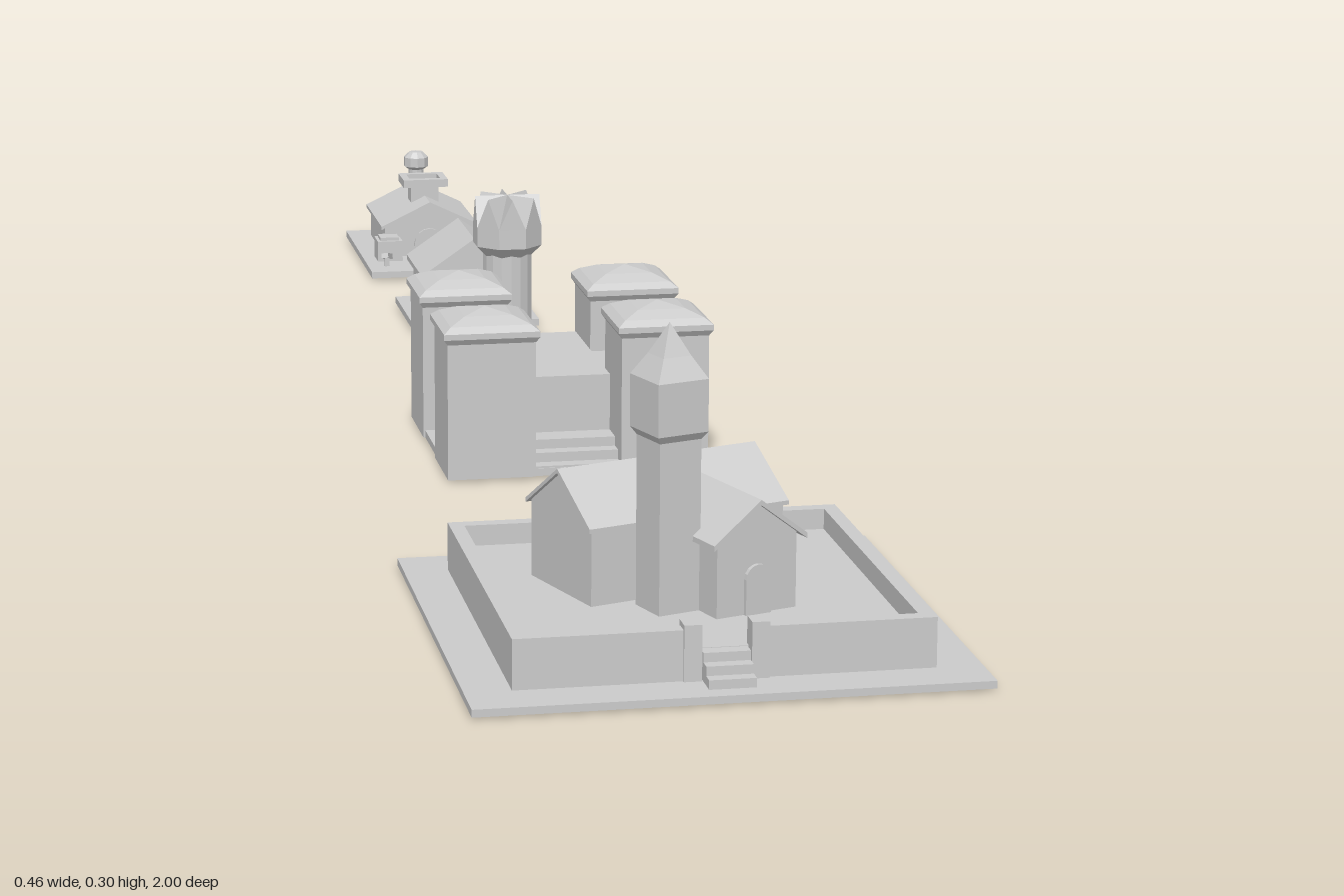
import * as THREE from 'three';

const mat = new THREE.MeshStandardMaterial({ color: 0xcccccc, flatShading: true, side: THREE.DoubleSide });

function add(parent, name, geo, x = 0, y = 0, z = 0) {
  const m = new THREE.Mesh(geo, mat);
  m.name = name;
  m.position.set(x, y, z);
  parent.add(m);
  return m;
}
// y is the underside of the box
const box = (p, name, w, h, d, x, y, z) => add(p, name, new THREE.BoxGeometry(w, h, d), x, y + h / 2, z);

function group(parent, name, x, y, z) {
  const g = new THREE.Group();
  g.name = name;
  g.position.set(x, y, z);
  parent.add(g);
  return g;
}
function prism(points, depth) {
  const shape = new THREE.Shape(points.map(([x, y]) => new THREE.Vector2(x, y)));
  return new THREE.ExtrudeGeometry(shape, { depth, bevelEnabled: false });
}
// gabled walls with a thin overhanging roof, ridge along z from z0 to z1
function gabled(p, name, hw, y0, eave, peak, z0, z1, over = 0.007, t = 0.006) {
  const g = group(p, name, 0, 0, 0);
  add(g, name + 'Walls', prism([[-hw, y0], [hw, y0], [hw, eave], [0, peak - t], [-hw, eave]], z1 - z0), 0, 0, z0);
  const w = hw + over, e = eave - over * (peak - t - eave) / hw;
  add(g, name + 'Roof', prism([[-w, e], [0, peak - t], [w, e], [w, e + t], [0, peak], [-w, e + t]],
    z1 - z0 + 2 * over), 0, 0, z0 - over);
  return g;
}
// door-shaped slab, rounded at the top
function arch(p, name, w, h, d, x, y, z) {
  const s = new THREE.Shape();
  s.moveTo(-w / 2, 0);
  s.lineTo(w / 2, 0);
  s.lineTo(w / 2, h - w / 2);
  s.absarc(0, h - w / 2, w / 2, 0, Math.PI, false);
  s.closePath();
  return add(p, name, new THREE.ExtrudeGeometry(s, { depth: d, bevelEnabled: false, curveSegments: 4 }), x, y, z);
}
// square profile turned from [half-width, height] pairs
function squareLathe(points) {
  const geo = new THREE.LatheGeometry(points.map(([r, y]) => new THREE.Vector2(r * Math.SQRT2, y)), 4);
  return geo.rotateY(Math.PI / 4).toNonIndexed();
}

function church(root) {
  const g = group(root, 'walledChurch', 0, 0, 0.77);
  box(g, 'basePlate', 0.46, 0.007, 0.46, 0, 0.002, 0);
  box(g, 'courtyard', 0.36, 0.026, 0.355, 0, 0.009, -0.003);
  // enclosing wall with a gap for the gate
  for (const s of [-1, 1]) {
    box(g, 'sideWall', 0.014, 0.046, 0.37, s * 0.181, 0.009, 0);
    box(g, 'frontWall', 0.152, 0.046, 0.014, s * 0.098, 0.009, 0.178);
    box(g, 'gatePost', 0.016, 0.051, 0.02, s * 0.03, 0.009, 0.178);
  }
  box(g, 'backWall', 0.348, 0.046, 0.014, 0, 0.009, -0.178);
  for (let i = 0; i < 3; i++) box(g, 'gateStep', 0.042, 0.0085 * (i + 1), 0.05 - i * 0.012, 0, 0.009, 0.187 - i * 0.006);

  // church, turned on its plot
  const c = group(g, 'church', -0.015, 0, -0.045);
  c.rotation.y = 0.32;
  gabled(c, 'nave', 0.057, 0.03, 0.107, 0.15, -0.1, 0.1, 0.004, 0.004).rotation.y = Math.PI / 2;
  const wing = gabled(c, 'wing', 0.041, 0.03, 0.105, 0.141, 0, 0.142, 0.007, 0.005);
  wing.position.x = 0.021;
  arch(wing, 'door', 0.026, 0.046, 0.004, 0, 0.035, 0.142);
  const t = group(c, 'bellTower', -0.04, 0, 0.09);
  box(t, 'towerShaft', 0.042, 0.165, 0.042, 0, 0.03, 0);
  add(t, 'towerHead', squareLathe([[0.021, 0.193], [0.0255, 0.2], [0.0255, 0.248], [0.014, 0.268], [0, 0.297]]));
}

function castle(root) {
  const g = group(root, 'fourTowerCastle', 0, 0.003, 0.113);
  const roof = [[0.046, 0.143], [0.05, 0.149], [0.05, 0.155], [0.042, 0.161], [0.025, 0.168], [0, 0.173]];
  for (const x of [-0.091, 0.091]) for (const z of [-0.089, 0.089]) {
    box(g, 'cornerTower', 0.092, 0.145, 0.092, x, 0, z);
    add(g, 'towerRoof', squareLathe(roof), x, 0, z);
  }
  box(g, 'floor', 0.27, 0.008, 0.266, 0, 0, 0);
  box(g, 'hall', 0.09, 0.09, 0.2, 0, 0, -0.03);
  for (const s of [-1, 1]) {
    box(g, 'sideHall', 0.06, 0.088, 0.09, s * 0.075, 0, 0);
    box(g, 'sideParapet', 0.035, 0.096, 0.09, s * 0.093, 0, 0);
  }
  for (let i = 0; i < 3; i++) box(g, 'entranceStep', 0.09, 0.01 * (i + 1), 0.064 - i * 0.016, 0, 0, 0.1 - i * 0.008);
}

function watchtower(root) {
  const g = group(root, 'watchtower', 0, 0, -0.205);
  add(g, 'foot', new THREE.CylinderGeometry(0.045, 0.045, 0.011, 16), 0, 0.0055, 0);
  add(g, 'plinth', new THREE.CylinderGeometry(0.03, 0.036, 0.008, 16), 0, 0.015, 0);
  add(g, 'shaft', new THREE.CylinderGeometry(0.028, 0.028, 0.14, 16), 0, 0.08, 0);
  const n = 8;
  const head = [[0.028, 0.143], [0.04, 0.155], [0.04, 0.177]].map(p => new THREE.Vector2(...p));
  add(g, 'head', new THREE.LatheGeometry(head, n).rotateY(Math.PI / n).toNonIndexed());
  // folded roof: level ridges to the gable tips, valleys to the corners
  const v = [];
  const at = (a, r, y) => [r * Math.sin(a), y, r * Math.cos(a)];
  for (let i = 0; i < n; i++) {
    const a = i * 2 * Math.PI / n, h = Math.PI / n;
    const left = at(a - h, 0.04, 0.177), right = at(a + h, 0.04, 0.177);
    const tip = at(a, 0.037, 0.211), mid = [0, 0.211, 0];
    v.push(...left, ...right, ...tip, ...left, ...tip, ...mid, ...tip, ...right, ...mid);
  }
  const geo = new THREE.BufferGeometry();
  geo.setAttribute('position', new THREE.Float32BufferAttribute(v, 3));
  geo.computeVertexNormals();
  add(g, 'foldedRoof', geo);
}

function cottage(root) {
  const g = group(root, 'cottage', 0, 0.003, -0.513);
  box(g, 'basePlate', 0.154, 0.008, 0.152, 0, 0, 0);
  gabled(g, 'cottage', 0.057, 0.008, 0.062, 0.107, -0.058, 0.058);
}

function workshop(root) {
  const g = group(root, 'workshop', 0, 0.003, -0.867);
  box(g, 'basePlate', 0.174, 0.008, 0.266, 0, 0, 0);
  gabled(g, 'house', 0.058, 0.008, 0.047, 0.079, -0.1, 0.042, 0.005, 0.004);
  arch(g, 'archway', 0.04, 0.036, 0.004, 0, 0.008, 0.042);
  // open square vent on the ridge
  box(g, 'ventBase', 0.036, 0.032, 0.03, 0, 0.06, -0.013);
  for (const s of [-1, 1]) {
    box(g, 'ventRim', 0.058, 0.01, 0.009, 0, 0.092, -0.013 + s * 0.021);
    box(g, 'ventRim', 0.009, 0.01, 0.034, s * 0.0245, 0.092, -0.013);
    // blocks flanking the front
    box(g, 'frontBlock', 0.032, 0.026, 0.036, s * 0.055, 0.008, 0.052);
    box(g, 'blockCap', 0.024, 0.004, 0.026, s * 0.055, 0.034, 0.052);
  }
  box(g, 'ventFloor', 0.04, 0.004, 0.034, 0, 0.092, -0.013);
  // round chimney with a wider cap
  const flue = [[0.01, 0.065], [0.01, 0.1], [0.016, 0.104], [0.016, 0.116], [0.009, 0.123], [0, 0.123]];
  add(g, 'chimney', new THREE.LatheGeometry(flue.map(p => new THREE.Vector2(...p)), 10).toNonIndexed(), 0, 0, -0.078);
  // slanted sign in the yard
  box(g, 'signPost', 0.006, 0.012, 0.006, -0.063, 0.008, 0.097);
  const sign = box(g, 'signBoard', 0.009, 0.006, 0.026, -0.063, 0.018, 0.097);
  sign.rotation.set(-0.25, -0.35, 0);
}

export function createModel() {
  const root = new THREE.Group();
  root.name = 'miniatureBuildings';
  for (const build of [church, castle, watchtower, cottage, workshop]) build(root);
  // lathe and fold faces need one normal per face
  root.traverse(o => { if (o.isMesh) o.geometry.computeVertexNormals(); });
  return root;
}
